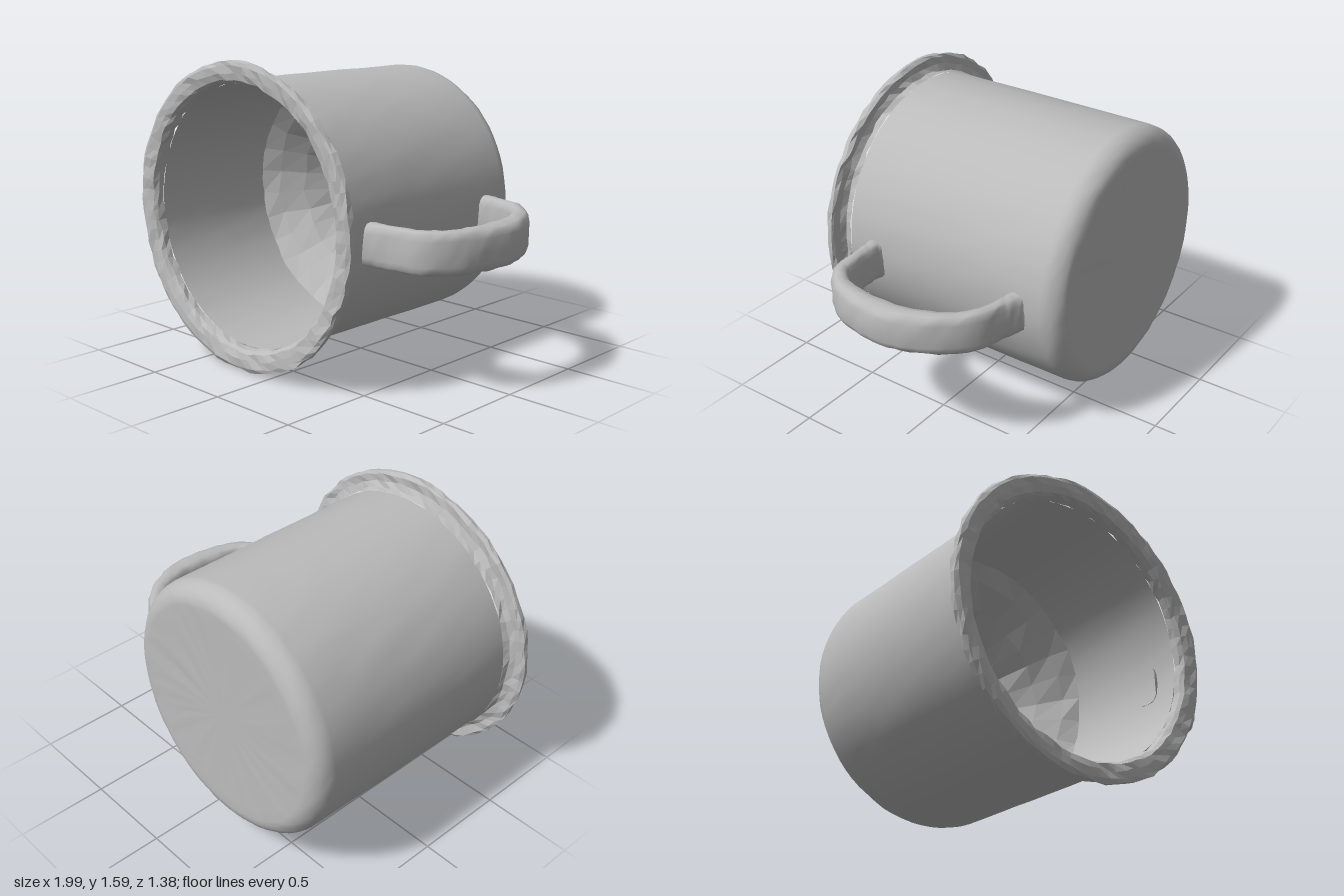
import * as THREE from 'three';
import { mergeVertices } from 'three/addons/utils/BufferGeometryUtils.js';

const CX = -0.205, CY = 0.8; // axis of the cup, which lies along z

const enamel = new THREE.MeshStandardMaterial({ color: 0xbbbbbb });
enamel.name = 'greyEnamel';

// Small repeatable offset that depends only on position, so seams stay closed
function noise(x, y, z, k) {
  const s = Math.sin(Math.round(x * 500) * 12.99 + Math.round(y * 500) * 78.23 + Math.round(z * 500) * 37.72 + k * 4.1) * 43758.5;
  return s - Math.floor(s) - 0.5;
}

function roughen(geometry, amount) {
  const p = geometry.attributes.position;
  for (let i = 0; i < p.count; i++) {
    const [x, y, z] = [p.getX(i), p.getY(i), p.getZ(i)];
    p.setXYZ(i, x + amount * noise(x, y, z, 1), y + amount * noise(x, y, z, 2), z + amount * noise(x, y, z, 3));
  }
}

// Turn a [radius, z] profile about the cup's axis
function turned(name, profile, segments, rough, faceted) {
  let g = new THREE.LatheGeometry(profile.map(([r, z]) => new THREE.Vector2(r, z)), segments);
  g.rotateX(Math.PI / 2);
  g.deleteAttribute('uv');
  roughen(g, rough);
  if (faceted) {
    g = g.toNonIndexed();
  } else {
    g.deleteAttribute('normal');
    g = mergeVertices(g);
  }
  g.computeVertexNormals();
  const mesh = new THREE.Mesh(g, enamel);
  mesh.name = name;
  mesh.position.set(CX, CY, 0);
  return mesh;
}

// Closed strap with a rounded, flattened section swept through the xz plane
function makeHandle() {
  const stations = [ // x, z, thickness
    [0.45, -0.445, 0.13], [0.5, -0.44, 0.1], [0.58, -0.425, 0.075], [0.72, -0.38, 0.085],
    [0.84, -0.26, 0.1], [0.91, -0.1, 0.125], [0.925, 0.03, 0.14], [0.91, 0.18, 0.125],
    [0.87, 0.31, 0.1], [0.78, 0.405, 0.09], [0.62, 0.43, 0.075], [0.51, 0.44, 0.095], [0.45, 0.44, 0.13],
  ];
  const path = new THREE.CatmullRomCurve3(stations.map(([x, z]) => new THREE.Vector3(x, 0, z)));
  const rings = 48, sides = 16, pos = [], index = [];
  for (let i = 0; i <= rings; i++) {
    const t = i / rings, f = t * (stations.length - 1);
    const a = Math.min(Math.floor(f), stations.length - 2);
    const thick = THREE.MathUtils.lerp(stations[a][2], stations[a + 1][2], f - a);
    const c = path.getPoint(t), d = path.getTangent(t);
    for (let j = 0; j < sides; j++) {
      const u = (j / sides) * Math.PI * 2;
      const across = Math.sign(Math.cos(u)) * Math.abs(Math.cos(u)) ** 0.7 * thick / 2;
      const up = Math.sign(Math.sin(u)) * Math.abs(Math.sin(u)) ** 0.6 * 0.108;
      pos.push(c.x + d.z * across, 0.75 + up, c.z - d.x * across);
      if (i < rings) {
        const p = i * sides + j, q = i * sides + (j + 1) % sides;
        index.push(p, q, p + sides, q, q + sides, p + sides);
      }
    }
  }
  const g = new THREE.BufferGeometry();
  g.setAttribute('position', new THREE.Float32BufferAttribute(pos, 3));
  g.setIndex(index);
  roughen(g, 0.006);
  g.computeVertexNormals();
  const mesh = new THREE.Mesh(g, enamel);
  mesh.name = 'handle';
  return mesh;
}

export function createModel() {
  const group = new THREE.Group();
  group.name = 'mug';

  // Outer shell: flat base, rounded corner, straight wall
  const shell = [[0, -0.685], [0.3, -0.686], [0.52, -0.688]];
  for (let i = 0; i <= 6; i++) {
    const a = (i / 6) * Math.PI / 2;
    shell.push([0.585 + 0.105 * Math.sin(a), -0.585 - 0.105 * Math.cos(a)]);
  }
  for (let i = 1; i <= 8; i++) shell.push([0.69 + 0.004 * i / 8, -0.585 + 1.185 * i / 8]);
  group.add(turned('outerShell', shell, 72, 0.004, false));

  // Flared rim with an uneven, faceted edge
  group.add(turned('rim', [
    [0.694, 0.6], [0.705, 0.63], [0.735, 0.643], [0.775, 0.643], [0.79, 0.655], [0.788, 0.678],
    [0.77, 0.687], [0.73, 0.683], [0.695, 0.675], [0.68, 0.655], [0.676, 0.62],
  ], 80, 0.012, true));

  // Inner wall, then a faceted funnel down to a flat floor
  group.add(turned('innerWall', [[0.676, 0.62], [0.676, 0.4], [0.675, 0.15], [0.674, -0.1]], 72, 0.003, false));
  group.add(turned('innerFunnel', [
    [0.676, -0.09], [0.6, -0.16], [0.5, -0.27], [0.42, -0.4], [0.375, -0.52], [0.36, -0.62],
  ], 30, 0.02, true));
  group.add(turned('innerFloor', [[0.38, -0.615], [0.2, -0.615], [0, -0.615]], 30, 0.003, false));

  group.add(makeHandle());
  return group;
}
